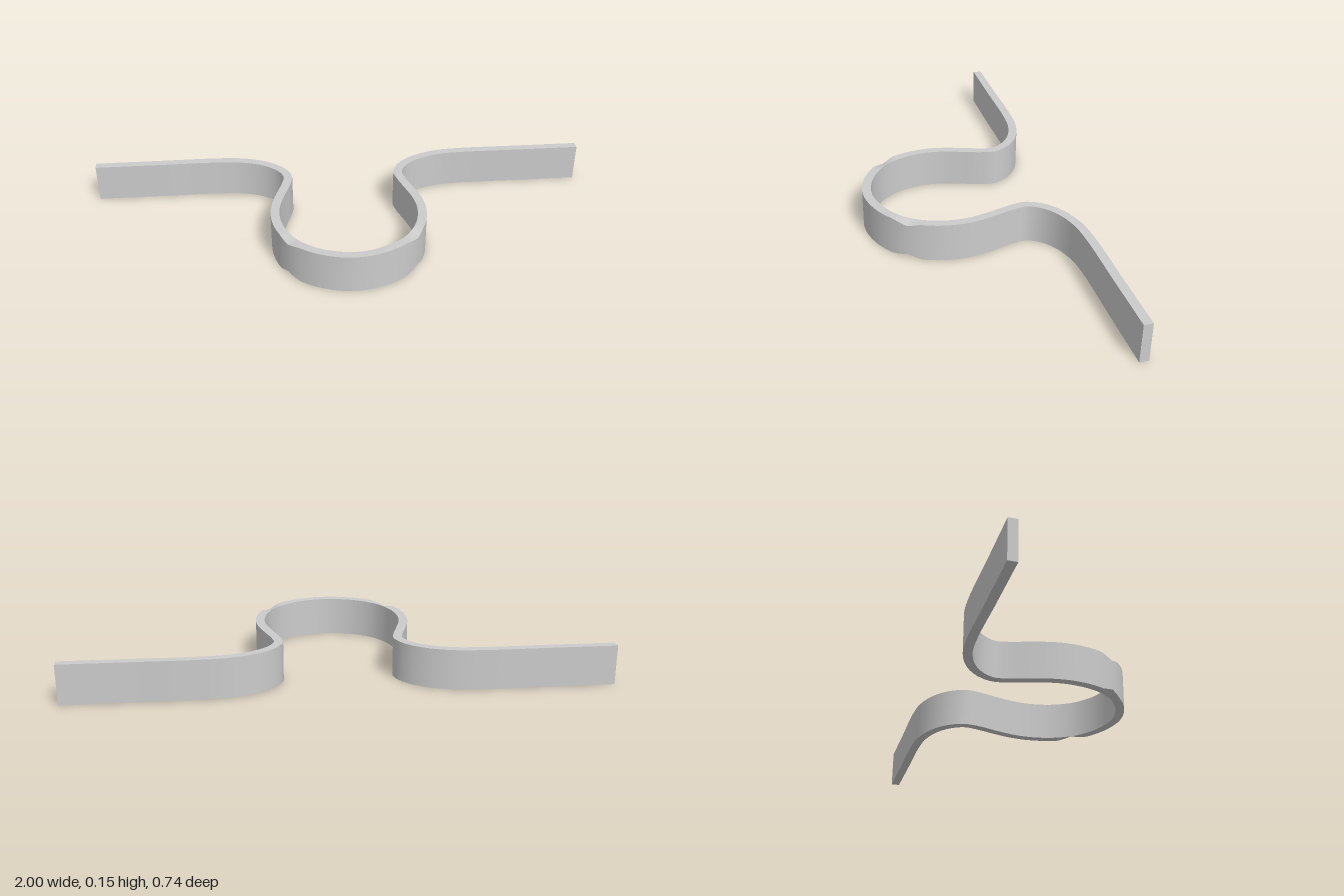
import * as THREE from 'three';
import { toCreasedNormals } from 'three/addons/utils/BufferGeometryUtils.js';

const HEIGHT = 0.15;
const THICK = 0.034;
const STEPS = 180;

// Centreline of one half, from the arm's end to the middle of the loop: [x, z]
const HALF = [
  [1, -0.354], [0.75, -0.354], [0.5, -0.354], [0.4, -0.344], [0.31, -0.311], [0.25, -0.262],
  [0.222, -0.205], [0.23, -0.15], [0.252, -0.08], [0.274, 0], [0.28, 0.07],
  [0.268, 0.15], [0.24, 0.217], [0.195, 0.275], [0.11, 0.329], [0, 0.353],
];

// Depth of the small V-shaped chamfer on the loop's outer edges
const chamfer = (z) => 0.014 * Math.max(0, 1 - Math.abs(z - 0.25) / 0.046);

function ribbonGeometry() {
  const mirrored = HALF.slice(0, -1).reverse().map(([x, z]) => [-x, z]);
  const curve = new THREE.CatmullRomCurve3(
    [...HALF, ...mirrored].map(([x, z]) => new THREE.Vector3(x, 0, z)));
  const positions = [];
  const index = [];

  // Rectangular cross-sections: outer bottom, outer top, inner top, inner bottom
  for (let i = 0; i <= STEPS; i++) {
    const p = curve.getPointAt(i / STEPS);
    const t = curve.getTangentAt(i / STEPS);
    const nx = t.z * THICK / 2;
    const nz = -t.x * THICK / 2;
    const cut = chamfer(p.z + nz);
    positions.push(
      p.x + nx, cut, p.z + nz,
      p.x + nx, HEIGHT - cut, p.z + nz,
      p.x - nx, HEIGHT, p.z - nz,
      p.x - nx, 0, p.z - nz);
    if (i === STEPS) break;
    for (let k = 0; k < 4; k++) {
      const a = i * 4 + k;
      const b = i * 4 + (k + 1) % 4;
      index.push(a, b, a + 4, b, b + 4, a + 4);
    }
  }

  // End caps
  const e = STEPS * 4;
  index.push(0, 2, 1, 0, 3, 2, e, e + 1, e + 2, e, e + 2, e + 3);

  const geometry = new THREE.BufferGeometry();
  geometry.setAttribute('position', new THREE.Float32BufferAttribute(positions, 3));
  geometry.setIndex(index);
  return toCreasedNormals(geometry, 0.5);
}

export function createModel() {
  const group = new THREE.Group();
  group.name = 'loopedStrip';
  const strip = new THREE.Mesh(ribbonGeometry(), new THREE.MeshStandardMaterial({ color: 0xcccccc }));
  strip.name = 'bentStrip';
  group.add(strip);
  return group;
}
